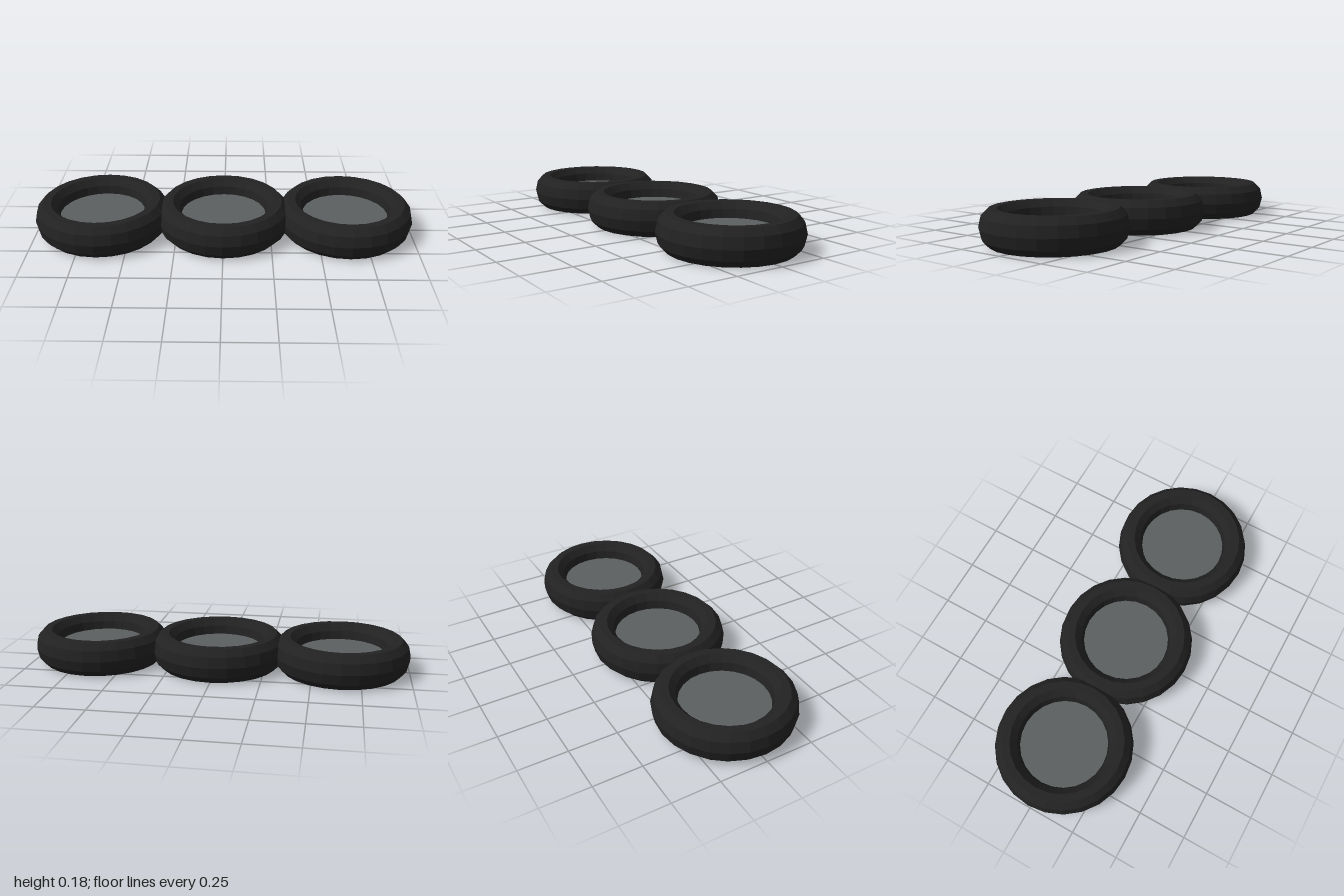
import * as THREE from 'three';

export function createModel() {
  const group = new THREE.Group();
  const rubber = new THREE.MeshStandardMaterial({ color: 0x222222, flatShading: true });
  rubber.name = 'black rubber';
  const plate = new THREE.MeshStandardMaterial({ color: 0x5c6060, flatShading: true });
  plate.name = 'grey plate';

  const midY = 0.0885;

  // Ten-sided ring, stretched upright so its section is an ellipse
  const ringGeo = new THREE.TorusGeometry(0.288, 0.066, 10, 24);
  ringGeo.rotateX(Math.PI / 2);
  ringGeo.scale(1, 1.41, 1);

  // Thin disc closing the middle of each ring
  const discGeo = new THREE.CylinderGeometry(0.226, 0.226, 0.022, 24);
  discGeo.rotateY(Math.PI / 2);

  // Three overlapping rings in a row
  ['right', 'middle', 'left'].forEach((side, i) => {
    const unit = new THREE.Group();
    unit.name = side + 'Unit';
    unit.position.set((i - 1) * 0.646, midY, 0);
    const ring = new THREE.Mesh(ringGeo, rubber);
    ring.name = side + 'Ring';
    const disc = new THREE.Mesh(discGeo, plate);
    disc.name = side + 'Disc';
    unit.add(ring, disc);
    group.add(unit);
  });

  return group;
}
